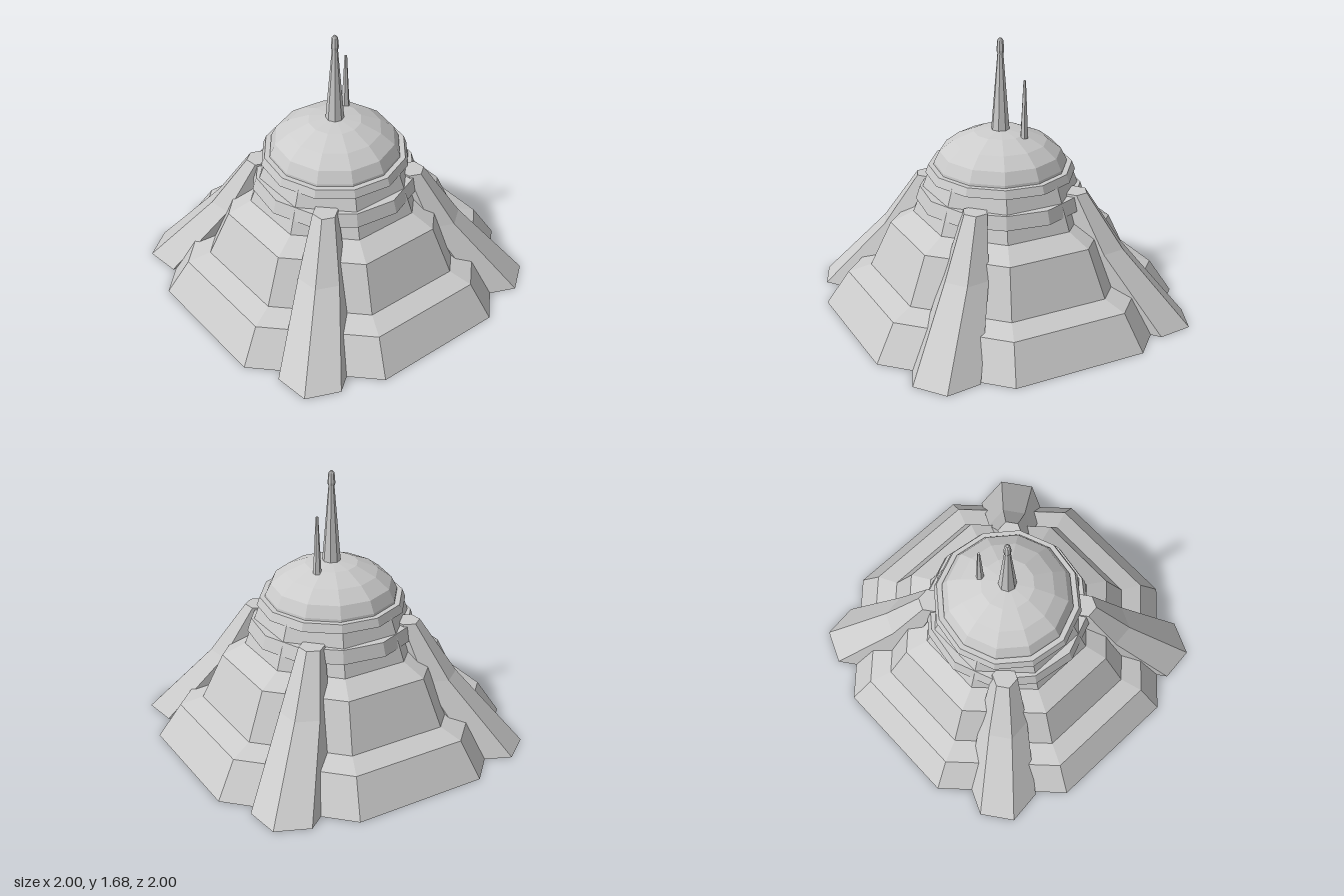
import * as THREE from 'three';

const TWIST = THREE.MathUtils.degToRad(6.8);

export function createModel() {
  const model = new THREE.Group();
  const stone = new THREE.MeshStandardMaterial({ color: 0xcccccc });
  stone.name = 'paleStone';

  // Faceted solid of revolution; profile is [radius, height] from bottom to top
  function turned(name, profile, sides, twist, parent = model, bend = null) {
    const points = profile.map(([r, y]) => new THREE.Vector2(r, y));
    let geometry = new THREE.LatheGeometry(points, sides, twist);
    if (bend) bend(geometry.attributes.position);
    geometry = geometry.toNonIndexed();
    geometry.computeVertexNormals();
    const mesh = new THREE.Mesh(geometry, stone);
    mesh.name = name;
    parent.add(mesh);
    return mesh;
  }

  // Stepped octagonal body, given by distance from the axis to the flat faces
  const steps = [[0, 0], [1, 0], [0.87, 0.21], [0.74, 0.255], [0.62, 0.535],
    [0.49, 0.605], [0.4, 0.87], [0, 0.87]];
  const toCorner = 1 / Math.cos(Math.PI / 8);
  turned('steppedBody', steps.map(([a, y]) => [a * toCorner, y]), 8, Math.PI / 8);

  // Twelve-sided bands around the upper body
  turned('lowerBand', [[0, 0.687], [0.513, 0.687], [0.488, 0.768], [0, 0.768]], 12, TWIST);
  turned('upperBand', [[0, 0.855], [0.453, 0.855], [0.434, 0.905], [0, 0.905]], 12, TWIST);

  // Faceted dome
  turned('dome', [[0.402, 0.9], [0.4, 0.92], [0.366, 0.99], [0.282, 1.055],
    [0.16, 1.11], [0, 1.133]], 12, TWIST);

  // Leaning six-sided buttresses: [radius, height, offset along x and z]
  const levels = [[0, 0, 0.697], [0.217, 0, 0.697], [0.144, 0.45, 0.448],
    [0.077, 0.782, 0.33], [0, 0.782, 0.33]];
  const buttresses = new THREE.Group();
  buttresses.name = 'buttresses';
  model.add(buttresses);
  for (const sx of [-1, 1]) {
    for (const sz of [-1, 1]) {
      turned('buttress', levels, 6, TWIST, buttresses, (position) => {
        for (let i = 0; i < position.count; i++) {
          const offset = levels[i % levels.length][2];
          position.setX(i, position.getX(i) + sx * offset);
          position.setZ(i, position.getZ(i) + sz * offset);
        }
      });
    }
  }

  // Main spire with its cap, and the small side mast
  turned('spire', [[0.058, 1.1], [0.055, 1.13], [0.017, 1.6], [0, 1.6]], 8, TWIST);
  turned('spireCap', [[0, 1.595], [0.021, 1.595], [0.023, 1.61], [0.018, 1.67], [0.008, 1.682],
    [0, 1.682]], 8, TWIST);
  const mast = turned('sideMast', [[0, 1.1], [0.025, 1.1], [0.008, 1.453], [0, 1.453]], 6, TWIST);
  mast.position.set(0.147, 0, -0.083);

  return model;
}
